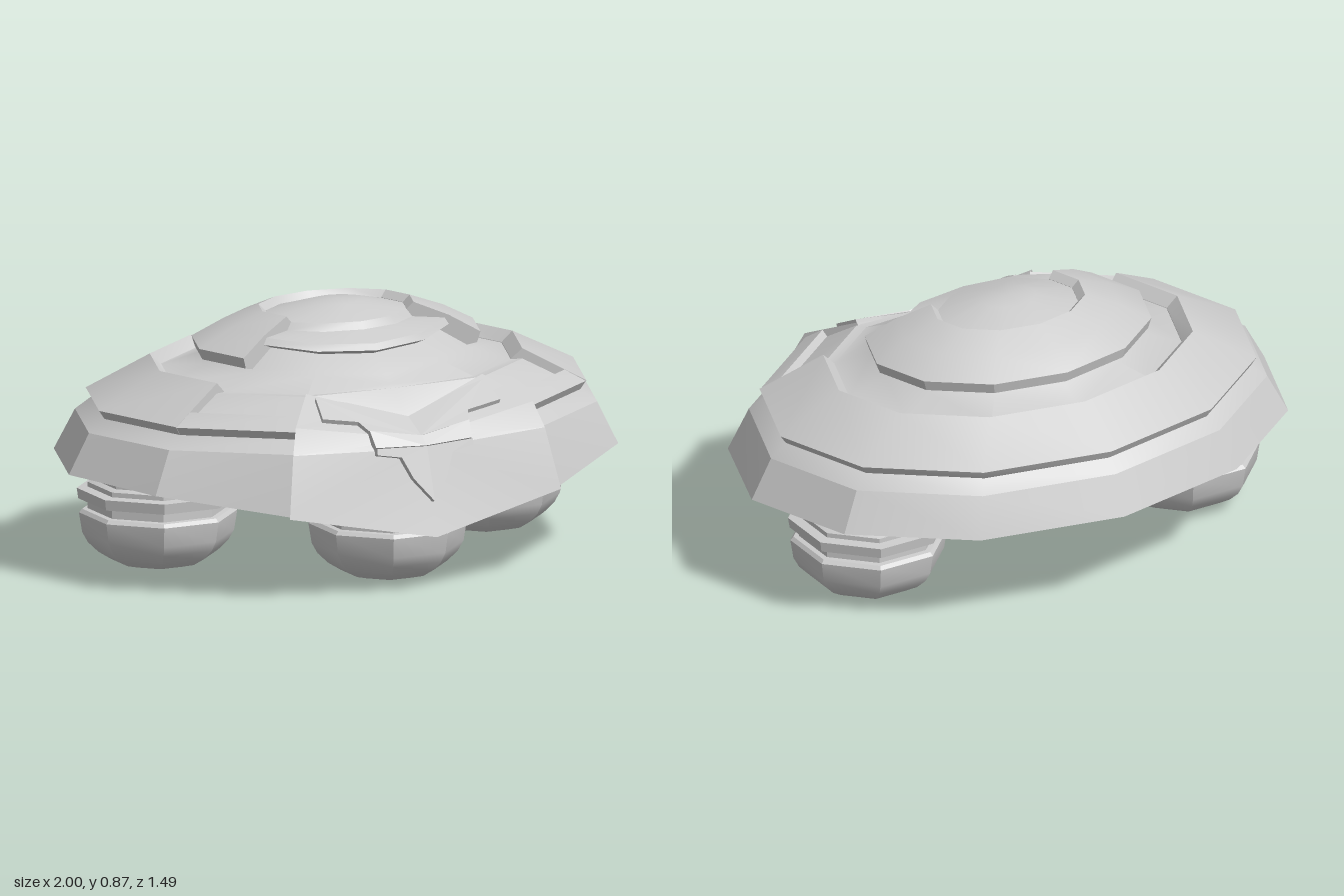
import * as THREE from 'three';
import { toCreasedNormals } from 'three/addons/utils/BufferGeometryUtils.js';

const DEG = Math.PI / 180;
const SQUASH = 0.75; // depth of the oval plan relative to its width
const material = new THREE.MeshStandardMaterial({ color: 0xcccccc });

// A point on the oval plan: angle 0 is +x, 90 is the front.
const place = (deg, [r, y]) =>
  new THREE.Vector3(r * Math.cos(deg * DEG), y, SQUASH * r * Math.sin(deg * DEG));

// Sweeps [radius, height] profiles around the oval; solid arcs get closed profiles and end caps.
function loft(name, angles, profileAt, solid) {
  const profiles = angles.map(profileAt);
  const cols = angles.map((a, i) => profiles[i].map((p) => place(a, p)));
  const n = cols[0].length;
  const tris = [];
  for (let i = 0; i < cols.length - 1; i++) {
    const mirrored = Math.cos((angles[i] + 15) * DEG) < 0; // diagonals match left to right
    for (let j = 0; j < (solid ? n : n - 1); j++) {
      const k = (j + 1) % n;
      const a = cols[i][j], b = cols[i + 1][j], c = cols[i + 1][k], d = cols[i][k];
      if (mirrored) tris.push(a, d, b, d, c, b);
      else tris.push(a, d, c, a, c, b);
    }
  }
  if (solid) {
    const last = cols.length - 1;
    const cap = (i) => THREE.ShapeUtils.triangulateShape(profiles[i].map((p) => new THREE.Vector2(...p)), []);
    for (const [a, b, c] of cap(0)) tris.push(cols[0][a], cols[0][c], cols[0][b]);
    for (const [a, b, c] of cap(last)) tris.push(cols[last][a], cols[last][b], cols[last][c]);
  }
  const geometry = new THREE.BufferGeometry().setFromPoints(tris);
  const mesh = new THREE.Mesh(toCreasedNormals(geometry, 0.42), material);
  mesh.name = name;
  return mesh;
}

const steps = (from, to) => {
  const list = [];
  for (let a = from; a <= to; a += 30) list.push(a);
  return list;
};

// Hull values by angle away from the front: rim height, underside step, crown lip drop
const FRONT = {
  0: { rim: 0.21, dip: 0.315, stepR: 0.18, drop: 0.012 },
  30: { rim: 0.3, dip: 0.32, stepR: 0.21, drop: 0.004 },
  60: { rim: 0.355, dip: 0.335, stepR: 0.36, drop: -0.012 },
};
const REST = { rim: 0.365, dip: 0.3645, stepR: 0.36, drop: 0 };

// Hull core: underside, rim, recessed side decks and stepped crown
function hullProfile(deg) {
  const off = Math.abs(deg - 90);
  const { rim, dip, stepR, drop } = FRONT[off] ?? REST;
  const deck = off === 0
    ? [[0.965, rim], [0.82, 0.45], [0.78, 0.47], [0.76, 0.485], [0.74, 0.5], [0.72, 0.51], [0.68, 0.55], [0.565, 0.645]]
    : [[1, rim], [0.925, 0.5], [0.865, 0.542], [0.885, 0.57], [0.81, 0.61], [0.79, 0.588], [0.66, 0.65], [0.62, 0.648]];
  const collar = off === 0 ? [[0.54, 0.655], [0.5, 0.68]] : [[0.48, 0.69], [0.46, 0.702]];
  const crown = [
    ...collar, [0.36, 0.745 - drop], [0.4, 0.76 - drop], [0.385, 0.782 - drop],
    [0.27, 0.8], [0.25, 0.825], [0.1, 0.861], [0, 0.867],
  ];
  return [[0, 0.365], [stepR, 0.3648], [stepR * 1.2, dip], ...deck, ...crown];
}

// Front shield: a raised wedge reaching down at the middle
const shieldSide = [[1.015, 0.295], [0.942, 0.5], [0.888, 0.585], [0.66, 0.66]];
const shieldMid = [[0.993, 0.2], [0.87, 0.485], [0.83, 0.513], [0.69, 0.563]];
const shieldProfile = (deg) => (deg === 90
  ? [...shieldMid, [0.62, 0.5], [0.9, 0.26]]
  : [...shieldSide, [0.62, 0.6], [0.9, 0.33]]);

// Maps a flat outline (u across, v up) onto one face of the shield, with thickness
function shieldPlate(name, outline, face, thickness) {
  const geometry = new THREE.ExtrudeGeometry(
    new THREE.Shape(outline.map((p) => new THREE.Vector2(...p))), { depth: 1, bevelEnabled: false });
  const [m0, m1] = [face, face + 1].map((i) => place(90, shieldMid[i]));
  const [s0, s1] = [face, face + 1].map((i) => place(60, shieldSide[i]));
  const normal = s0.clone().sub(m0).cross(m1.clone().sub(m0)).normalize();
  normal.x = 0; // halves meet cleanly on the centre line
  const pos = geometry.attributes.position;
  for (let i = 0; i < pos.count; i++) {
    const u = pos.getX(i), v = pos.getY(i), w = pos.getZ(i);
    const p = m0.clone().lerp(m1, v).lerp(s0.clone().lerp(s1, v), u);
    p.addScaledVector(normal, (w - 0.4) * thickness);
    pos.setXYZ(i, p.x, p.y, p.z);
  }
  geometry.computeVertexNormals();
  const group = new THREE.Group();
  group.name = name;
  for (const side of [1, -1]) {
    const half = new THREE.Mesh(geometry, material);
    half.name = side > 0 ? name + 'Left' : name + 'Right';
    half.scale.x = side;
    group.add(half);
  }
  return group;
}

// Foot pod: eight-sided rounded cup with stacked collars
function podGeometry() {
  const profile = [
    [0, 0], [0.1, 0.003], [0.145, 0.016], [0.185, 0.042], [0.217, 0.075], [0.235, 0.11], [0.245, 0.178], [0.235, 0.19],
    [0.218, 0.192], [0.218, 0.222], [0.247, 0.226], [0.252, 0.262], [0.218, 0.266], [0.218, 0.282],
    [0.2, 0.29], [0.2, 0.308], [0.235, 0.315], [0.235, 0.345], [0.2, 0.35], [0.2, 0.38],
  ].map(([r, y]) => new THREE.Vector2(r / Math.cos(Math.PI / 8), y));
  return toCreasedNormals(new THREE.LatheGeometry(profile, 8, Math.PI / 8), 0.5);
}

export function createModel() {
  const model = new THREE.Group();
  model.name = 'saucer';

  model.add(loft('hull', steps(0, 360), (a) => hullProfile(a % 360), false));

  // Raised deck and dome wrap the sides and back, leaving the front stepped down
  model.add(loft('raisedDeck', steps(150, 390), () =>
    [[0.84, 0.53], [0.867, 0.543], [0.887, 0.572], [0.66, 0.685], [0.62, 0.65], [0.6, 0.6]], true));
  model.add(loft('raisedDome', steps(150, 390), () =>
    [[0.4, 0.68], [0.465, 0.7], [0.5, 0.708], [0.512, 0.745], [0.4, 0.803], [0.275, 0.849], [0.25, 0.826], [0.25, 0.76]], true));

  // Front shield with its raised crest
  model.add(loft('frontShield', [60, 90, 120], shieldProfile, true));
  model.add(shieldPlate('crestPoint',
    [[0, 0.4], [0.13, 0.65], [0.2, 0.9], [0.38, 0.94], [0.38, 1.02], [0, 1.02]], 0, 0.035));
  model.add(shieldPlate('crestBand', [[0, 0], [0.38, 0], [0.42, 1.02], [0, 1.02]], 1, 0.03));
  model.add(shieldPlate('crestWings',
    [[0, 0], [0.42, 0], [0.5, 0.3], [0.8, 0.25], [0.9, 0.85], [0.6, 0.92], [0, 0.92]], 2, 0.022));

  // Three pods: one under the front, one under each side
  const pod = podGeometry();
  for (const [name, x, z] of [['frontPod', 0, 0.38], ['leftPod', 0.61, -0.11], ['rightPod', -0.61, -0.11]]) {
    const mesh = new THREE.Mesh(pod, material);
    mesh.name = name;
    mesh.position.set(x, 0, z);
    model.add(mesh);
  }
  return model;
}
